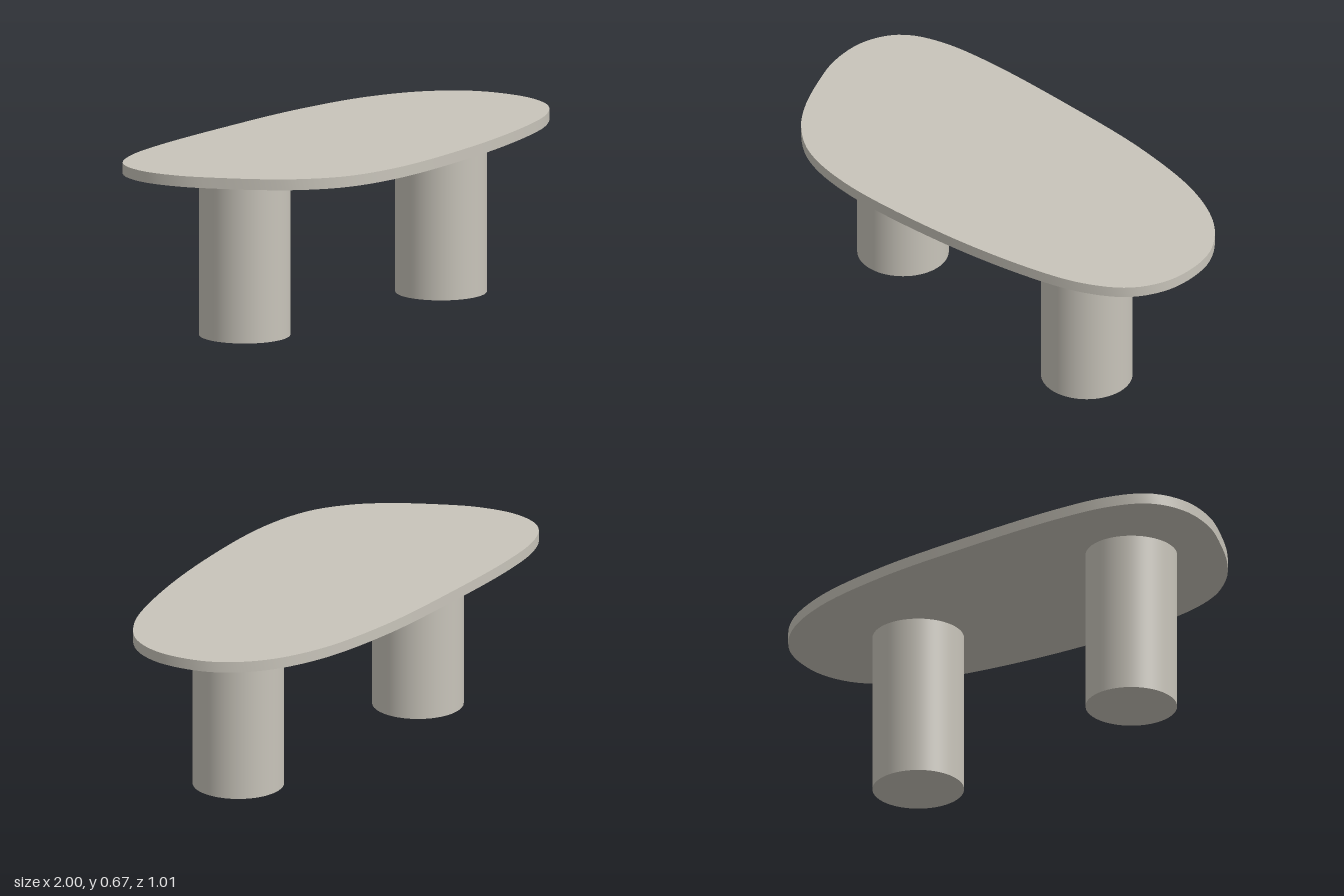
import * as THREE from 'three';
import { toCreasedNormals } from 'three/addons/utils/BufferGeometryUtils.js';

const LEG_HEIGHT = 0.63;
const TOP_THICKNESS = 0.042;

// Plan of the table top as [x, z], clockwise seen from above
const OUTLINE = [
  [-1, -0.15], [-0.975, -0.265], [-0.92, -0.335], [-0.8, -0.397], [-0.6, -0.443],
  [-0.2, -0.487], [0.25, -0.51], [0.6, -0.475], [0.82, -0.385], [0.95, -0.25],
  [0.998, -0.08], [0.985, 0.04], [0.93, 0.145], [0.8, 0.25], [0.6, 0.335],
  [0.2, 0.44], [-0.3, 0.503], [-0.55, 0.47], [-0.7, 0.385], [-0.8, 0.283],
  [-0.9, 0.135], [-0.97, 0],
];

export function createModel() {
  const group = new THREE.Group();
  const stone = new THREE.MeshStandardMaterial({ color: 0xc8c4ba });
  stone.name = 'warmGreyStone';

  // Organic slab: a smooth closed curve extruded upwards
  const curve = new THREE.CatmullRomCurve3(
    OUTLINE.map(([x, z]) => new THREE.Vector3(x, -z, 0)), true);
  const points = curve.getSpacedPoints(160).slice(0, -1);
  const shape = new THREE.Shape(points.map((p) => new THREE.Vector2(p.x, p.y)));
  const slab = new THREE.ExtrudeGeometry(shape, { depth: TOP_THICKNESS, bevelEnabled: false });
  slab.rotateX(-Math.PI / 2);
  const tableTop = new THREE.Mesh(toCreasedNormals(slab, Math.PI / 6), stone);
  tableTop.name = 'tableTop';
  tableTop.position.y = LEG_HEIGHT;
  group.add(tableTop);

  // Two round column legs
  const column = new THREE.CylinderGeometry(0.173, 0.173, LEG_HEIGHT, 64);
  for (const [name, x] of [['rightLeg', -0.585], ['leftLeg', 0.508]]) {
    const leg = new THREE.Mesh(column, stone);
    leg.name = name;
    leg.position.set(x, LEG_HEIGHT / 2, -0.018);
    group.add(leg);
  }
  return group;
}
